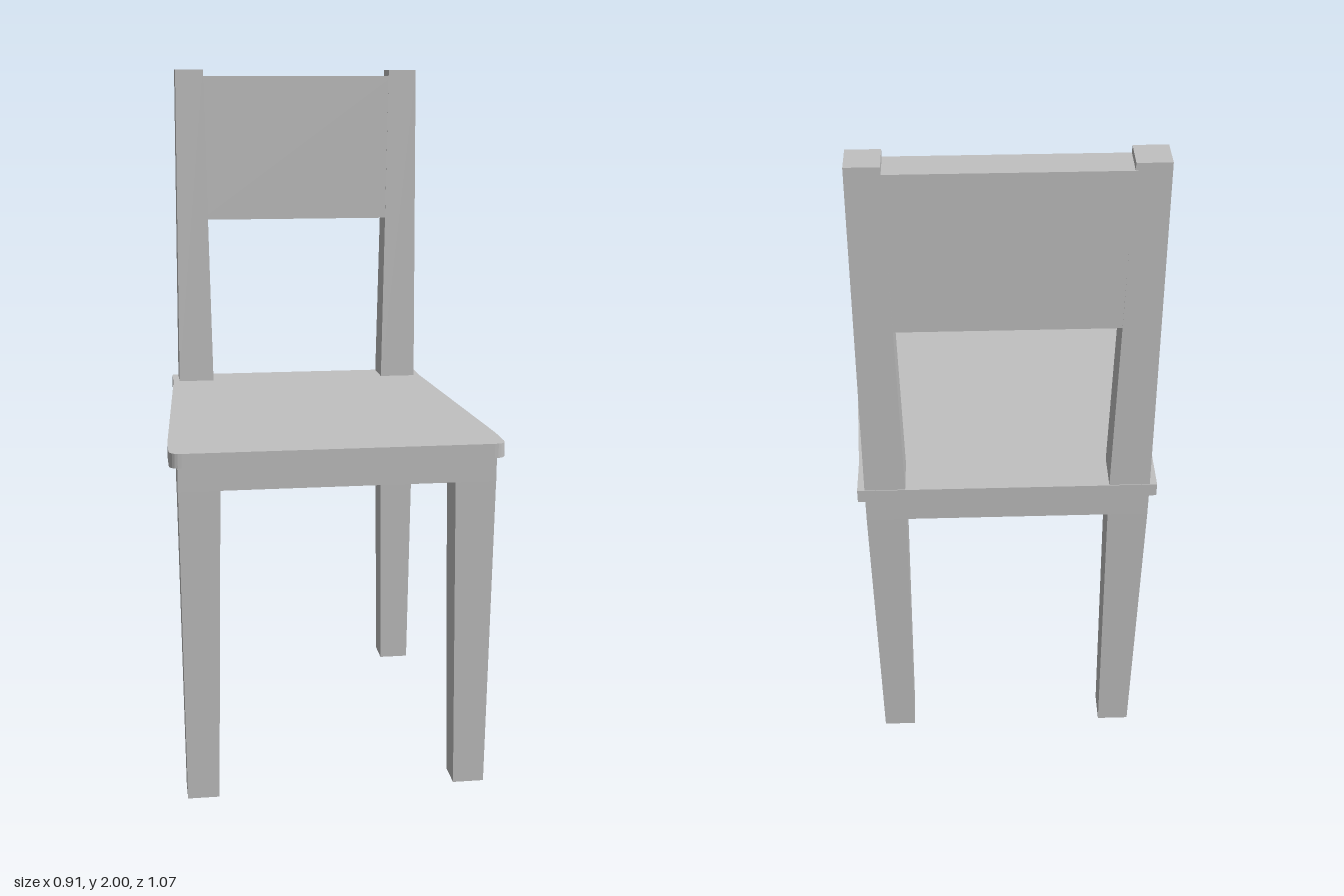
import * as THREE from 'three';

const material = new THREE.MeshStandardMaterial({ color: 0xc0c0c0 });
material.name = 'plain grey';

// Solid through stacked rectangles: [y, xMin, xMax, zMin, zMax], bottom to top
function loft(sections) {
  const rings = sections.map(([y, x0, x1, z0, z1]) =>
    [[x0, y, z1], [x1, y, z1], [x1, y, z0], [x0, y, z0]]);
  const points = [];
  const quad = (a, b, c, d) => points.push(...a, ...b, ...c, ...a, ...c, ...d);
  for (let i = 0; i < rings.length - 1; i++) {
    for (let k = 0; k < 4; k++) {
      const n = (k + 1) % 4;
      quad(rings[i][k], rings[i][n], rings[i + 1][n], rings[i + 1][k]);
    }
  }
  const bottom = rings[0], top = rings[rings.length - 1];
  quad(bottom[3], bottom[2], bottom[1], bottom[0]);
  quad(top[0], top[1], top[2], top[3]);
  const geometry = new THREE.BufferGeometry();
  geometry.setAttribute('position', new THREE.Float32BufferAttribute(points, 3));
  geometry.computeVertexNormals();
  return geometry;
}

// Flat board outlined in x and z, lying between two heights
function board(shape, y0, y1) {
  const geometry = new THREE.ExtrudeGeometry(shape, { depth: y1 - y0, bevelEnabled: false, curveSegments: 6 });
  return geometry.rotateX(Math.PI / 2).translate(0, y1, 0);
}

export function createModel() {
  const model = new THREE.Group();
  model.name = 'chair';
  const add = (name, geometry) => {
    const mesh = new THREE.Mesh(geometry, material);
    mesh.name = name;
    model.add(mesh);
  };
  // Swaps the x limits for the right-hand side
  const side = (s, sections) => sections.map(([y, a, b, z0, z1]) =>
    s > 0 ? [y, a, b, z0, z1] : [y, -b, -a, z0, z1]);

  // Seat: wider at the front, with rounded front corners
  const seat = new THREE.Shape();
  seat.moveTo(-0.41, -0.535);
  seat.lineTo(0.41, -0.535);
  seat.lineTo(0.41, -0.42);
  seat.lineTo(0.456, 0.41);
  seat.lineTo(0.456, 0.502);
  seat.quadraticCurveTo(0.456, 0.535, 0.423, 0.535);
  seat.lineTo(-0.423, 0.535);
  seat.quadraticCurveTo(-0.456, 0.535, -0.456, 0.502);
  seat.lineTo(-0.456, 0.41);
  seat.lineTo(-0.41, -0.42);
  seat.closePath();
  add('seat', board(seat, 0.965, 1.005));

  // Solid apron block under the seat, flush with the legs
  const apron = new THREE.Shape([[-0.389, -0.533], [0.389, -0.533], [0.389, -0.424],
    [0.434, 0.405], [0.434, 0.515], [-0.434, 0.515], [-0.434, 0.405], [-0.389, -0.424]]
    .map(([x, z]) => new THREE.Vector2(x, z)));
  add('apron', board(apron, 0.895, 0.965));

  for (const [s, label] of [[1, 'left'], [-1, 'right']]) {
    // Front leg, tapering downwards
    add(label + 'FrontLeg', loft(side(s, [
      [0, 0.335, 0.423, 0.416, 0.503],
      [0.93, 0.32, 0.434, 0.405, 0.515],
    ])));
    // Rear leg and back post in one piece, thickest at the seat
    add(label + 'RearLegAndPost', loft(side(s, [
      [0, 0.29, 0.381, -0.522, -0.436],
      [0.895, 0.279, 0.39, -0.533, -0.424],
      [1.005, 0.279, 0.39, -0.533, -0.424],
      [2, 0.297, 0.384, -0.522, -0.436],
    ])));
  }

  // Backrest panel between the posts
  add('backrest', loft([
    [1.53, -0.31, 0.31, -0.526, -0.432],
    [1.98, -0.31, 0.31, -0.523, -0.436],
  ]));

  return model;
}
